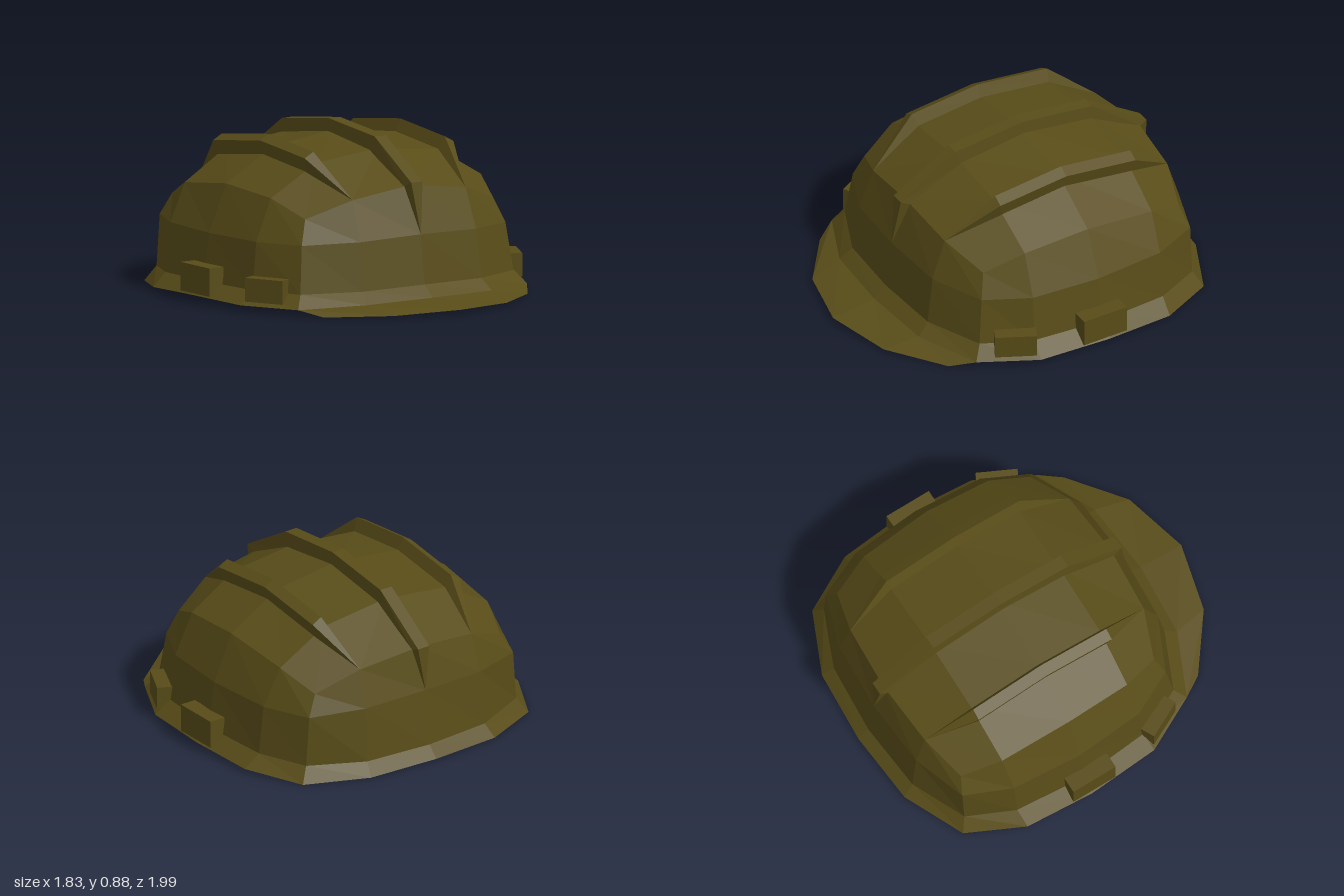
import * as THREE from 'three';

const material = new THREE.MeshStandardMaterial({ color: 0x584c18, flatShading: true, side: THREE.DoubleSide });

// Skin a list of equal-length rows of [x, y, z] points with quads.
function skin(name, rows) {
  const n = rows[0].length, index = [];
  for (let r = 0; r < rows.length - 1; r++) {
    for (let i = 0; i < n - 1; i++) {
      const a = r * n + i, b = a + 1, c = a + n, d = c + 1;
      index.push(a, b, c, b, d, c);
    }
  }
  const geometry = new THREE.BufferGeometry();
  geometry.setAttribute('position', new THREE.Float32BufferAttribute(rows.flat(2), 3));
  geometry.setIndex(index);
  geometry.computeVertexNormals();
  const mesh = new THREE.Mesh(geometry, material);
  mesh.name = name;
  return mesh;
}

const flip = ([x, y, z]) => [-x, y, z];

// Close a half outline (front to back along +x) into a full loop.
const loop = half => [...half, ...half.slice(0, -1).reverse().map(flip)];

// Mirror a half row (centre outwards) into a full row from -x to +x.
const fullRow = half => [...half.slice(1).reverse().map(flip), ...half];

export function createModel() {
  const helmet = new THREE.Group();
  helmet.name = 'hardHat';

  // Shell outlines, each from front centre round the left side to back centre
  const crown = [
    [0, 0.62, 0.55], [0.36, 0.57, 0.53], [0.6, 0.48, 0.44], [0.67, 0.57, 0.23], [0.69, 0.6, -0.14],
    [0.67, 0.55, -0.54], [0.6, 0.46, -0.75], [0.36, 0.56, -0.82], [0, 0.6, -0.85]];
  const wall = [
    [0, 0.37, 0.635], [0.37, 0.36, 0.61], [0.65, 0.35, 0.48], [0.77, 0.35, 0.24], [0.8, 0.35, -0.14],
    [0.77, 0.35, -0.53], [0.66, 0.35, -0.78], [0.37, 0.36, -0.88], [0, 0.37, -0.905]];
  const base = [
    [0, 0.11, 0.67], [0.38, 0.105, 0.645], [0.68, 0.1, 0.51], [0.8, 0.1, 0.25], [0.835, 0.1, -0.14],
    [0.8, 0.09, -0.53], [0.68, 0.08, -0.78], [0.38, 0.07, -0.91], [0, 0.07, -0.94]];
  const edge = [
    [0, 0.05, 0.74], [0.4, 0.045, 0.71], [0.73, 0.03, 0.56], [0.885, 0.03, 0.26], [0.915, 0.035, -0.14],
    [0.885, 0.02, -0.52], [0.73, 0, -0.82], [0.4, 0.005, -0.97], [0, 0.01, -1]];
  helmet.add(skin('shellWall', [crown, wall, base].map(loop).reverse()));
  helmet.add(skin('brim', [base, edge].map(loop).reverse()));

  // Crown panels, front to back
  helmet.add(skin('crownPanels', [
    crown.slice(0, 3),
    [[0, 0.77, 0.24], [0.39, 0.73, 0.24], crown[3]],
    [[0, 0.82, -0.14], [0.39, 0.77, -0.14], crown[4]],
    [[0, 0.76, -0.55], [0.39, 0.715, -0.55], crown[5]],
    [crown[8], crown[7], crown[6]],
  ].map(fullRow).reverse()));

  // Front visor
  const visor = [[0, 0.02, 0.99], [0.36, 0.01, 0.9], [0.65, 0, 0.68]];
  helmet.add(skin('visor', [edge.slice(0, 3), visor].map(fullRow).reverse()));

  // Centre ridge: foot z, foot y, top z, top y, half width
  const spine = [
    [0.635, 0.37, 0.635, 0.37, 0], [0.55, 0.615, 0.6, 0.64, 0.045], [0.24, 0.76, 0.27, 0.84, 0.045],
    [-0.14, 0.81, -0.14, 0.88, 0.045], [-0.55, 0.75, -0.56, 0.825, 0.045],
    [-0.85, 0.595, -0.89, 0.61, 0.045], [-0.905, 0.37, -0.905, 0.37, 0]];
  helmet.add(skin('centreRidge', spine.map(([fz, fy, tz, ty, w]) =>
    [[-w, fy, fz], [-w * 0.8, ty, tz], [w * 0.8, ty, tz], [w, fy, fz]]).reverse()));

  // Side ridges, leaning outwards and running to a point at both ends
  const front = [0.36, 0.57, 0.53], back = [0.36, 0.56, -0.82];
  const section = (z, topZ, drop) => [
    [0.39, 0.77 - drop, z], [0.42, 0.835 - drop, topZ], [0.475, 0.805 - drop, topZ], [0.455, 0.725 - drop, z]];
  const sideRows = [
    Array(4).fill(front), section(0.24, 0.26, 0.04), section(-0.14, -0.14, 0),
    section(-0.55, -0.56, 0.055), Array(4).fill(back)];
  helmet.add(skin('leftRidge', [...sideRows].reverse()));
  helmet.add(skin('rightRidge', sideRows.map(row => row.map(flip))));

  // Accessory slots: boxes open on the inner side
  function slot(name, size, x, y, z, angle) {
    const geometry = new THREE.BoxGeometry(...size);
    const faces = Array.from(geometry.index.array);
    faces.splice(6, 6);
    geometry.setIndex(faces);
    geometry.clearGroups();
    const mesh = new THREE.Mesh(geometry, material);
    mesh.name = name;
    mesh.position.set(x, y, z);
    mesh.rotation.y = angle;
    helmet.add(mesh);
  }
  for (const [side, s] of [['left', 1], ['right', -1]]) {
    const turn = s > 0 ? 0 : Math.PI;
    slot(side + 'SideSlot', [0.09, 0.15, 0.26], s * 0.86, 0.117, -0.12, turn);
    slot(side + 'FrontSlot', [0.09, 0.125, 0.22], s * 0.775, 0.112, 0.35, turn - s * 0.464);
  }

  return helmet;
}
